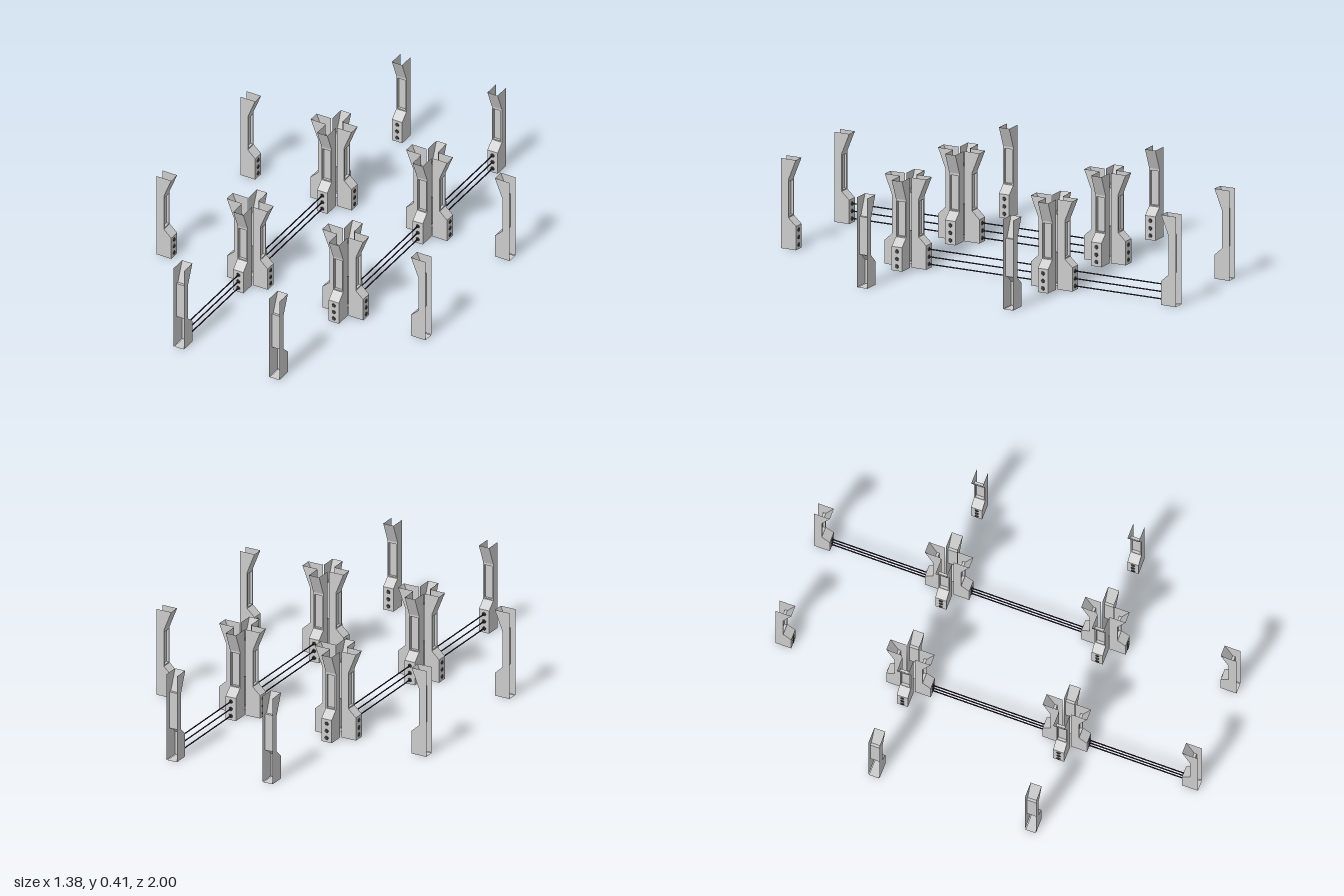
import * as THREE from 'three';

const grey = new THREE.MeshStandardMaterial({ color: 0xcccccc, side: THREE.DoubleSide, flatShading: true });
const lensMat = new THREE.MeshStandardMaterial({ color: 0x444444 });
const beamMat = new THREE.MeshStandardMaterial({ color: 0x2a1a33 });

const W = 0.052;                        // post width
const DEPTH = 0.075;                    // post depth at base and crown
const NECK = 0.037;                     // post depth at the neck
const BEAM_Y = [0.02, 0.054, 0.089];
// Front edge of the side profile: [depth, height]
const PROFILE = [[DEPTH, 0], [DEPTH, 0.11], [NECK, 0.145], [NECK, 0.32], [DEPTH, 0.415]];

function add(parent, name, geometry, material, x = 0, y = 0, z = 0) {
  const mesh = new THREE.Mesh(geometry, material);
  mesh.name = name;
  mesh.position.set(x, y, z);
  parent.add(mesh);
  return mesh;
}

// Side plate cut to the post profile, lying in the yz plane
function sidePlateGeometry() {
  const shape = new THREE.Shape([[0, 0], ...PROFILE, [0, 0.415]].map(p => new THREE.Vector2(...p)));
  return new THREE.ShapeGeometry(shape).rotateY(-Math.PI / 2);
}

// Front strip between two profile points
function stripGeometry([z0, y0], [z1, y1]) {
  const geometry = new THREE.PlaneGeometry(W, 1);
  const pos = geometry.attributes.position;
  for (let i = 0; i < pos.count; i++) {
    const top = pos.getY(i) > 0;
    pos.setY(i, top ? y1 : y0);
    pos.setZ(i, top ? z1 : z0);
  }
  geometry.computeVertexNormals();
  return geometry;
}

// Neck plate with a window opening
function frameGeometry() {
  const rect = (Type, w, y0, y1) => new Type(
    [[-w, y0], [w, y0], [w, y1], [-w, y1]].map(p => new THREE.Vector2(...p)));
  const frame = rect(THREE.Shape, W / 2, 0.145, 0.32);
  frame.holes.push(rect(THREE.Path, 0.02, 0.15, 0.31));
  return new THREE.ExtrudeGeometry(frame, { depth: 0.012, bevelEnabled: false });
}

const sideGeo = sidePlateGeometry();
const frameGeo = frameGeometry();
const panelGeo = new THREE.PlaneGeometry(0.042, 0.165);
const floorGeo = new THREE.PlaneGeometry(0.046, DEPTH).rotateX(-Math.PI / 2);
const lensGeo = new THREE.CylinderGeometry(0.008, 0.01, 0.004, 10).rotateX(Math.PI / 2);
const stripGeos = [0, 1, 3].map(i => stripGeometry(PROFILE[i], PROFILE[i + 1]));
const stripNames = ['baseFront', 'baseSlope', 'crownFlare'];

// Channel-shaped post facing +z, with its open back at z = 0
function makePost() {
  const post = new THREE.Group();
  post.name = 'post';
  for (const s of [-1, 1]) add(post, 'sidePlate', sideGeo, grey, s * W / 2);
  stripGeos.forEach((g, i) => add(post, stripNames[i], g, grey));
  add(post, 'windowFrame', frameGeo, grey, 0, 0, NECK - 0.012);
  add(post, 'windowPanel', panelGeo, grey, 0, 0.23, NECK - 0.0125);
  add(post, 'floor', floorGeo, grey, 0, 0, DEPTH / 2);
  for (const y of BEAM_Y) add(post, 'emitter', lensGeo, lensMat, 0, y, DEPTH + 0.001);
  return post;
}

export function createModel() {
  const model = new THREE.Group();
  model.name = 'beamFence';

  const place = (name, x, z, angle) => {
    const post = makePost();
    post.name = name;
    post.position.set(x, 0, z);
    post.rotation.y = angle;
    model.add(post);
  };

  // Four hubs, each of four posts facing outward
  const hubX = [-0.225, 0.265], hubZ = [-0.37, 0.37], inset = 0.03;
  for (const x of hubX) for (const z of hubZ) {
    for (let k = 0; k < 4; k++) {
      const a = k * Math.PI / 2;
      place('hubPost', x + inset * Math.sin(a), z + inset * Math.cos(a), a);
    }
  }

  // Single end posts facing inward
  for (const x of hubX) {
    place('endPost', x, -1, 0);
    place('endPost', x, 1, Math.PI);
  }
  for (const z of hubZ) {
    place('endPost', -0.69, z, Math.PI / 2);
    place('endPost', 0.69, z, -Math.PI / 2);
  }

  // Beams in sets of three: [x, z start, z end]
  const spans = [
    [-0.225, -0.265, 0.265], [-0.225, 0.475, 0.925],
    [0.265, -0.925, -0.475], [0.265, -0.265, 0.265],
  ];
  for (const [x, z0, z1] of spans) {
    const geo = new THREE.CylinderGeometry(0.003, 0.003, z1 - z0, 6).rotateX(Math.PI / 2);
    for (const y of BEAM_Y) add(model, 'beam', geo, beamMat, x, y, (z0 + z1) / 2);
  }
  return model;
}
